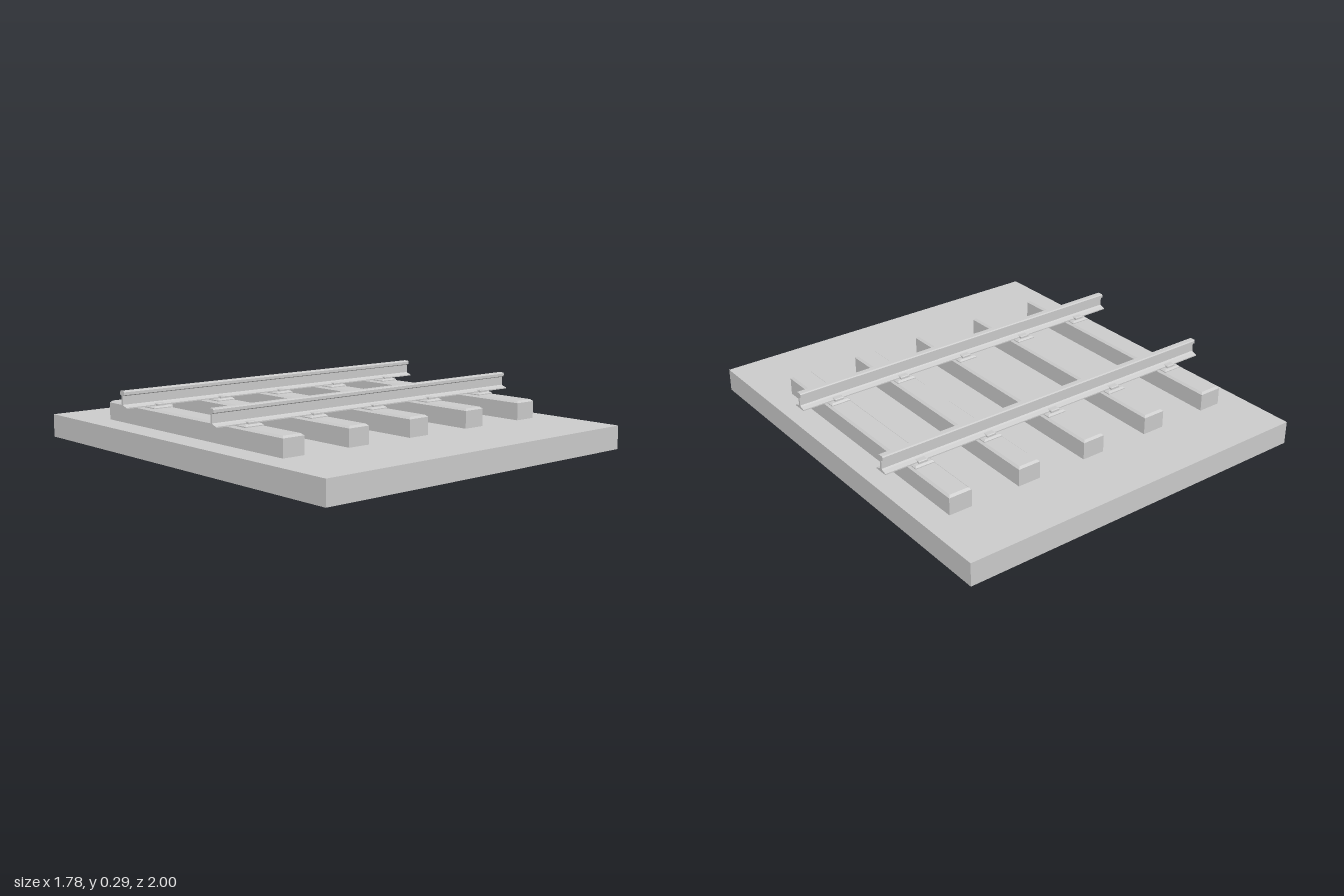
import * as THREE from 'three';

const SLEEPERS = 5, SPACING = 0.355, LENGTH = 1.78;
const RAIL_Z = [0.29, -0.38];

// Box standing on y = 0 whose top is inset, with a shoulder where the bevel begins
function bevelBox(w, h, d, shoulder, inset) {
  const box = new THREE.BoxGeometry(w, h, d, 1, 2, 1);
  const p = box.attributes.position;
  for (let i = 0; i < p.count; i++) {
    const y = p.getY(i);
    if (y > h * 0.4) {
      p.setX(i, Math.sign(p.getX(i)) * (w / 2 - inset));
      p.setZ(i, Math.sign(p.getZ(i)) * (d / 2 - inset));
      p.setY(i, h);
    } else p.setY(i, y < -h * 0.4 ? 0 : shoulder);
  }
  const flat = box.toNonIndexed();
  flat.computeVertexNormals();
  return flat;
}

// Half of the rail section, from foot to head: [half width, height]
const HALF_RAIL = [
  [0.033, 0], [0.033, 0.005], [0.012, 0.011], [0.005, 0.016],
  [0.005, 0.055], [0.016, 0.06], [0.016, 0.073], [0.012, 0.078],
];

function railGeometry() {
  const left = HALF_RAIL.map(([x, y]) => new THREE.Vector2(x, y));
  const right = HALF_RAIL.map(([x, y]) => new THREE.Vector2(-x, y)).reverse();
  const geo = new THREE.ExtrudeGeometry(new THREE.Shape([...left, ...right]), {
    depth: LENGTH, bevelEnabled: false,
  });
  geo.translate(0, 0, -LENGTH / 2);
  geo.rotateY(Math.PI / 2);
  return geo;
}

export function createModel() {
  const model = new THREE.Group();
  model.name = 'railwayTrack';
  const grey = new THREE.MeshStandardMaterial({ color: 0xcccccc, side: THREE.DoubleSide });
  grey.name = 'plainGrey';

  const add = (name, geo, x, y, z, parent = model) => {
    const mesh = new THREE.Mesh(geo, grey);
    mesh.name = name;
    mesh.position.set(x, y, z);
    parent.add(mesh);
    return mesh;
  };

  // Track bed: a hollow slab, open underneath
  const bed = new THREE.BoxGeometry(LENGTH, 0.11, 2);
  const index = Array.from(bed.index.array);
  index.splice(18, 6); // drop the bottom face
  bed.setIndex(index);
  bed.clearGroups();
  add('trackBed', bed, 0, 0.055, 0);

  // Sleepers with a base plate and rail clips under each rail
  const sleeperGeo = bevelBox(0.112, 0.09, 1.286, 0.081, 0.01);
  const plateGeo = bevelBox(0.096, 0.011, 0.116, 0.004, 0.008);
  const clipGeo = bevelBox(0.046, 0.011, 0.03, 0.008, 0.003);
  for (let i = 0; i < SLEEPERS; i++) {
    const x = (i - (SLEEPERS - 1) / 2) * SPACING;
    add('sleeper', sleeperGeo, x, 0.11, -0.044);
    for (const z of RAIL_Z) {
      const fastening = new THREE.Group();
      fastening.name = 'railFastening';
      fastening.position.set(x, 0.2, z);
      model.add(fastening);
      add('basePlate', plateGeo, 0, 0, 0, fastening);
      for (const side of [-1, 1]) add('railClip', clipGeo, 0, 0.011, side * 0.031, fastening);
    }
  }

  // Two rails
  const railGeo = railGeometry();
  for (const z of RAIL_Z) add('rail', railGeo, 0, 0.211, z);

  return model;
}
